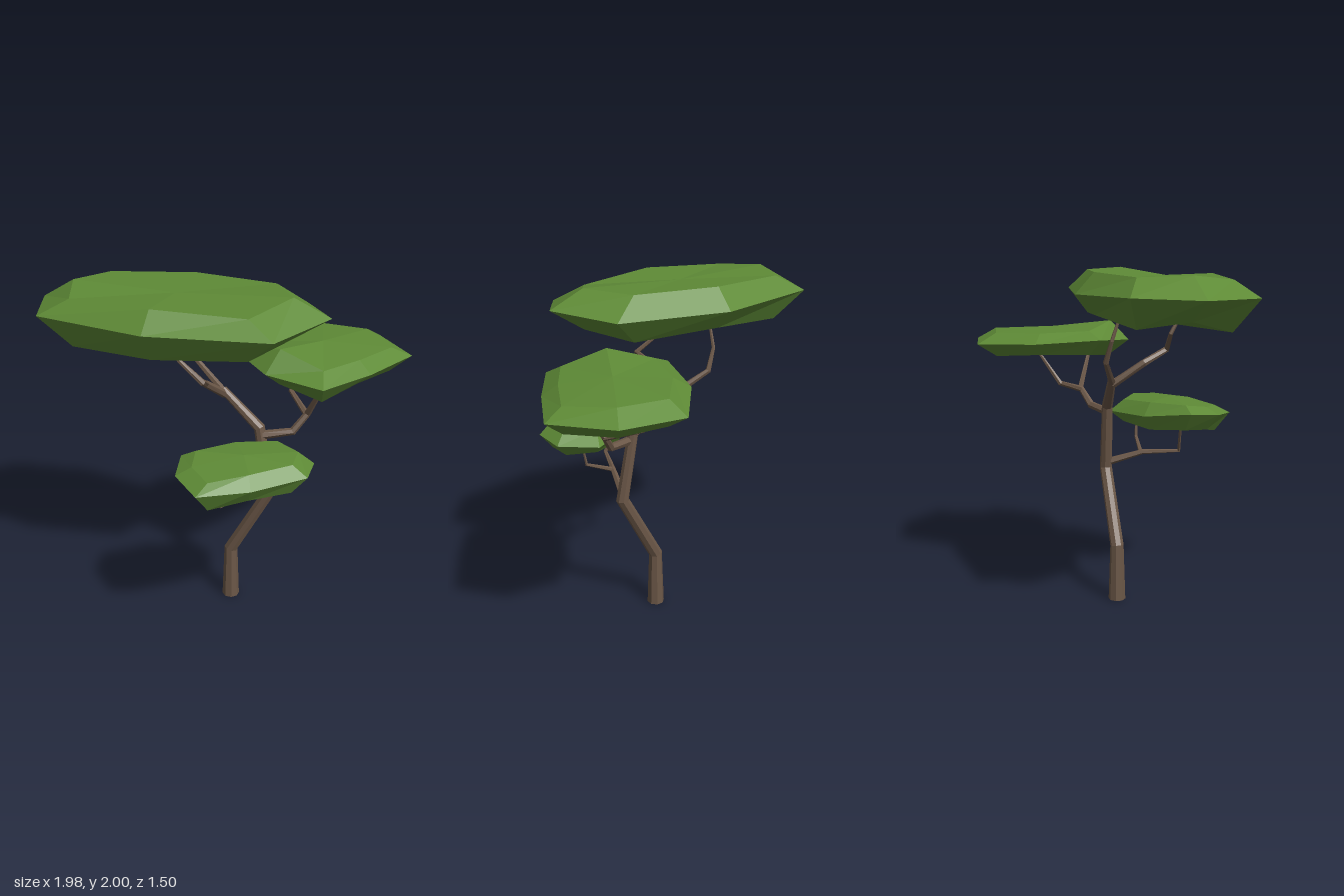
import * as THREE from 'three';

const bark = new THREE.MeshStandardMaterial({ color: 0x6b5747, flatShading: true });
bark.name = 'bark brown';
const leaf = new THREE.MeshStandardMaterial({ color: 0x5e8a36, flatShading: true });
leaf.name = 'leaf green';

// Skins a stack of rings (bottom to top, counter-clockwise from above) and closes both ends.
function loft(rings, bottom, top) {
  const pos = [];
  const n = rings[0].length;
  const tri = (...pts) => pts.forEach((p) => pos.push(p.x, p.y, p.z));
  for (let i = 0; i < n; i++) {
    const j = (i + 1) % n;
    for (let r = 0; r < rings.length - 1; r++) {
      const lo = rings[r], hi = rings[r + 1];
      tri(lo[i], lo[j], hi[j]);
      tri(lo[i], hi[j], hi[i]);
    }
    const first = rings[0], last = rings[rings.length - 1];
    tri(bottom, first[j], first[i]);
    tri(top, last[i], last[j]);
  }
  const g = new THREE.BufferGeometry();
  g.setAttribute('position', new THREE.Float32BufferAttribute(pos, 3));
  g.computeVertexNormals();
  return g;
}

// Tapered, kinked limb; each knot is [x, y, z, radius].
function limb(name, knots, sides) {
  const up = new THREE.Vector3(0, 1, 0);
  const pts = knots.map(([x, y, z]) => new THREE.Vector3(x, y, z));
  const last = pts.length - 1;
  const dir = (a, b) => pts[b].clone().sub(pts[a]).normalize();
  const rings = pts.map((p, k) => {
    const t = new THREE.Vector3();
    if (k > 0) t.add(dir(k - 1, k));
    if (k < last) t.add(dir(k, k + 1));
    if (k === 0 && p.y === 0) t.copy(up);
    const q = new THREE.Quaternion().setFromUnitVectors(up, t.normalize());
    return Array.from({ length: sides }, (_, i) => {
      const a = ((i + 0.5) / sides) * Math.PI * 2;
      return new THREE.Vector3(Math.sin(a), 0, Math.cos(a))
        .multiplyScalar(knots[k][3]).applyQuaternion(q).add(p);
    });
  });
  const mesh = new THREE.Mesh(loft(rings, pts[0], pts[last]), bark);
  mesh.name = name;
  return mesh;
}

// Flat leaf pad; each rim row is [x, z, bottom y, rim y, top y].
function canopy(name, rim, inset, bottomY, topY) {
  const c = new THREE.Vector3();
  rim.forEach(([x, z]) => c.add(new THREE.Vector3(x, 0, z).divideScalar(rim.length)));
  const ring = (scale, col) => rim.map((r) => new THREE.Vector3(
    c.x + (r[0] - c.x) * scale, r[col], c.z + (r[1] - c.z) * scale));
  const geometry = loft([ring(inset, 2), ring(1, 3), ring(inset, 4)],
    new THREE.Vector3(c.x, bottomY, c.z), new THREE.Vector3(c.x, topY, c.z));
  const mesh = new THREE.Mesh(geometry, leaf);
  mesh.name = name;
  return mesh;
}

export function createModel() {
  const tree = new THREE.Group();
  tree.name = 'tree';

  // Trunk and limbs
  tree.add(
    limb('trunk', [[0.07, 0, 0.01, 0.052], [0.07, 0.345, 0.01, 0.041], [0.302, 0.78, 0.005, 0.038],
      [0.23, 1.18, -0.005, 0.033], [0, 1.37, -0.04, 0.024]], 8),
    limb('upperBackBranch', [[0.01, 1.355, -0.035, 0.022], [-0.2, 1.5, -0.13, 0.016],
      [-0.25, 1.62, -0.11, 0.011], [-0.255, 1.77, -0.06, 0.007]], 6),
    limb('upperFrontBranch', [[0.01, 1.345, -0.035, 0.024], [-0.04, 1.47, 0.14, 0.021],
      [0, 1.54, 0.29, 0.018], [-0.155, 1.645, 0.26, 0.012], [-0.16, 1.76, 0.32, 0.008]], 6),
    limb('rightBranch', [[0.25, 1.14, 0, 0.026], [0.41, 1.16, -0.06, 0.023],
      [0.48, 1.26, -0.11, 0.019], [0.58, 1.47, -0.03, 0.011]], 6),
    limb('rightBackTwig', [[0.48, 1.25, -0.105, 0.019], [0.34, 1.315, -0.27, 0.016],
      [0.4, 1.49, -0.38, 0.009]], 6),
    limb('lowerBranch', [[0.3, 0.81, 0, 0.024], [0.23, 0.88, 0.22, 0.016],
      [0.15, 0.893, 0.43, 0.013], [0.07, 1.06, 0.41, 0.008]], 6),
    limb('lowerTwig', [[0.23, 0.875, 0.21, 0.014], [0.4, 0.945, 0.23, 0.01],
      [0.42, 1.07, 0.24, 0.006]], 6),
  );

  // Leaf pads, rims running front, right, back, left
  tree.add(
    canopy('topCanopy', [
      [-0.21, 0.585, 1.71, 1.87, 1.975], [0.43, 0.475, 1.73, 1.87, 1.95],
      [0.635, 0.135, 1.78, 1.91, 2.0], [0.43, -0.19, 1.74, 1.88, 1.99],
      [-0.21, -0.3, 1.76, 1.87, 1.985], [-0.85, -0.19, 1.72, 1.88, 1.97],
      [-0.99, 0.14, 1.76, 1.87, 1.98], [-0.85, 0.475, 1.695, 1.87, 1.955],
    ], 0.76, 1.72, 1.965),
    canopy('rightCanopy', [
      [0.63, 0.225, 1.44, 1.555, 1.615], [0.82, -0.08, 1.475, 1.55, 1.61],
      [0.99, -0.43, 1.465, 1.555, 1.605], [0.76, -0.705, 1.475, 1.56, 1.625],
      [0.405, -0.75, 1.48, 1.555, 1.62], [0.16, -0.45, 1.5, 1.57, 1.625],
      [0.05, -0.09, 1.5, 1.595, 1.64], [0.3, 0.15, 1.485, 1.57, 1.685],
    ], 0.76, 1.47, 1.645),
    canopy('frontCanopy', [
      [0.125, 0.75, 1.005, 1.12, 1.165], [0.37, 0.61, 1.04, 1.12, 1.19],
      [0.61, 0.39, 1.03, 1.13, 1.195], [0.6, 0.2, 1.03, 1.12, 1.2],
      [0.41, 0.06, 1.05, 1.115, 1.19], [0.14, 0.2, 1.03, 1.12, 1.2],
      [-0.08, 0.42, 1.05, 1.16, 1.2], [-0.04, 0.61, 1.04, 1.14, 1.18],
    ], 0.76, 1.04, 1.215),
  );
  return tree;
}
